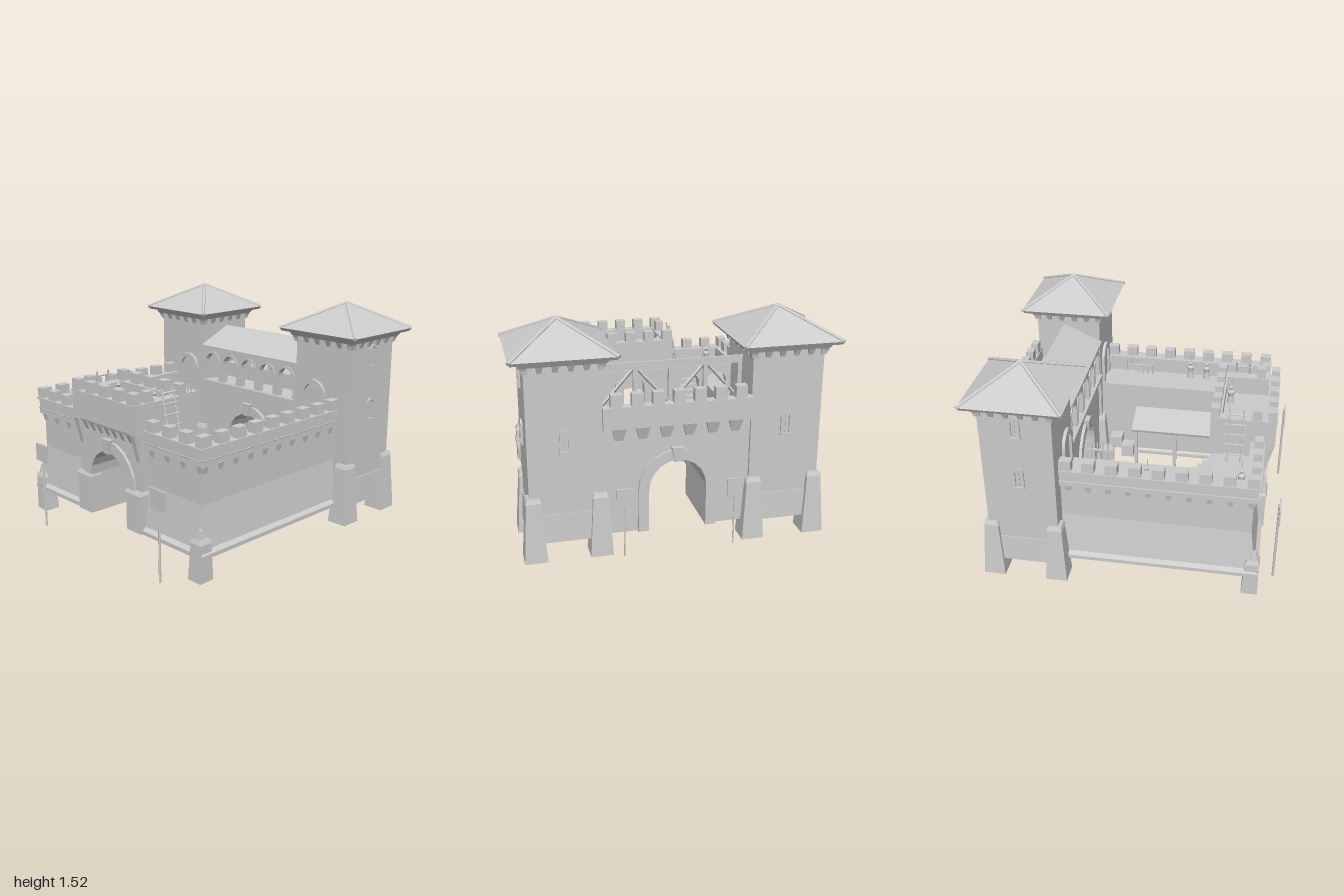
import * as THREE from 'three';

const grey = new THREE.MeshStandardMaterial({ color: 0xcccccc, flatShading: true, side: THREE.DoubleSide });
const V = (x, y, z) => new THREE.Vector3(x, y, z);

function add(parent, name, geo) {
  const m = new THREE.Mesh(geo, grey);
  m.name = name;
  parent.add(m);
  return m;
}
function group(parent, name) {
  const g = new THREE.Group();
  g.name = name;
  parent.add(g);
  return g;
}
// tapered block: [x0, x1, z0, z1] at the bottom and at the top;
// open lists faces to leave out (capital = positive side)
function taper(p, name, y0, y1, b, t = b, open = '') {
  const g = new THREE.BoxGeometry(1, 1, 1), a = g.attributes.position;
  for (let i = 0; i < a.count; i++) {
    const up = a.getY(i) > 0, r = up ? t : b;
    a.setXYZ(i, r[a.getX(i) > 0 ? 1 : 0], up ? y1 : y0, r[a.getZ(i) > 0 ? 3 : 2]);
  }
  g.setIndex([...g.index.array].filter((v, i) => !open.includes('XxYyZz'[Math.floor(i / 6)])));
  g.computeVertexNormals();
  return add(p, name, g);
}
const block = (p, name, x, y, z, w, h, d, open) =>
  taper(p, name, y - h / 2, y + h / 2, [x - w / 2, x + w / 2, z - d / 2, z + d / 2], undefined, open);
// (z, y) profile extruded along x
function prism(p, name, pts, x0, x1) {
  const g = new THREE.ExtrudeGeometry(new THREE.Shape(pts.map(q => new THREE.Vector2(...q))), { depth: x1 - x0, bevelEnabled: false });
  g.rotateY(-Math.PI / 2).translate(x1, 0, 0);
  return add(p, name, g);
}
function bar(p, name, a, b, r, sides = 6) {
  const d = b.clone().sub(a);
  const m = add(p, name, new THREE.CylinderGeometry(r, r, d.length(), sides));
  m.position.copy(a).addScaledVector(d, 0.5);
  m.quaternion.setFromUnitVectors(V(0, 1, 0), d.normalize());
  return m;
}
function archPath(T, cx, w, y0, spring, rise) {
  const s = new T();
  s.moveTo(cx - w, y0).lineTo(cx + w, y0).lineTo(cx + w, spring);
  s.absellipse(cx, spring, w, rise, 0, Math.PI, false);
  s.lineTo(cx - w, y0);
  return s;
}
const extrude = (s, z0, z1) =>
  new THREE.ExtrudeGeometry(s, { depth: z1 - z0, bevelEnabled: false, curveSegments: 5 }).translate(0, 0, z0);
// wall with a round-headed passage
function archWall(p, name, w, y0, y1, z0, z1) {
  const s = new THREE.Shape();
  s.moveTo(-w, y0).lineTo(-0.18, y0).lineTo(-0.18, 0.46);
  s.absellipse(0, 0.46, 0.18, 0.19, Math.PI, 0, true);
  s.lineTo(0.18, y0).lineTo(w, y0).lineTo(w, y1).lineTo(-w, y1);
  add(p, name, extrude(s, z0, z1));
}
// arch-shaped band, open at the foot
function surround(p, name, w, y0, spring, rise, t, z0, z1) {
  const s = new THREE.Shape();
  s.moveTo(w, y0).lineTo(w + t, y0).lineTo(w + t, spring);
  s.absellipse(0, spring, w + t, rise + t, 0, Math.PI, false);
  s.lineTo(-w - t, y0).lineTo(-w, y0).lineTo(-w, spring);
  s.absellipse(0, spring, w, rise, Math.PI, 0, true);
  return add(p, name, extrude(s, z0, z1));
}
const spread = (a, b, n) => Array.from({ length: n }, (_, i) => a + (b - a) * i / (n - 1));

function addTower(root, s) {
  const t = group(root, s > 0 ? 'leftTower' : 'rightTower');
  t.position.set(s * 0.68, 0, -0.635);
  const h = 0.225;
  block(t, 'towerShaft', 0, 0.76, 0, 2 * h, 1.14, 2 * h, 'y');
  taper(t, 'towerFoot', 0.19, 0.37, [-0.24, 0.24, -0.24, 0.24], [-0.232, 0.232, -0.232, 0.232], 'y');
  taper(t, 'towerCornice', 1.295, 1.325, [-0.25, 0.25, -0.25, 0.25], [-0.268, 0.268, -0.268, 0.268]);
  for (let k = 0; k < 4; k++) {
    const side = group(t, 'towerCorbels');
    side.rotation.y = k * Math.PI / 2;
    for (const x of spread(-0.225, 0.225, 6))
      taper(side, 'corbel', 1.255, 1.3, [x - 0.013, x + 0.013, 0.2, 0.232], [x - 0.022, x + 0.022, 0.2, 0.252]);
  }
  // roof with hip ridges
  taper(t, 'roofEave', 1.325, 1.345, [-0.3, 0.3, -0.3, 0.3], [-0.312, 0.312, -0.312, 0.312]);
  add(t, 'towerRoof', new THREE.ConeGeometry(0.312 * Math.SQRT2, 0.17, 4, 1).rotateY(Math.PI / 4).translate(0, 1.43, 0));
  for (const a of [-1, 1]) for (const b of [-1, 1]) {
    bar(t, 'hipRidge', V(0, 1.512, 0), V(a * 0.31, 1.345, b * 0.31), 0.013);
    const x = a * 0.2, z = b * 0.205;
    taper(t, 'towerButtress', 0.08, 0.46, [x - 0.07, x + 0.07, z - 0.07, z + 0.07], [x - 0.045, x + 0.045, z - 0.045, z + 0.045], 'y');
    taper(t, 'buttressCap', 0.46, 0.485, [x - 0.05, x + 0.05, z - 0.05, z + 0.05], [x - 0.04, x + 0.04, z - 0.04, z + 0.04]);
  }
  // windows on the outer and rear sides, door on the front
  for (const [angle, y] of [[s * Math.PI / 2, 1.12], [s * Math.PI / 2, 0.76], [Math.PI, 0.76]]) {
    const w = group(t, 'window');
    w.rotation.y = angle;
    w.position.y = y;
    surround(w, 'windowFrame', 0.02, 0, 0.11, 0.022, 0.014, h, h + 0.012);
    block(w, 'windowSill', 0, 0, h + 0.008, 0.075, 0.014, 0.016);
    block(w, 'windowBar', 0, 0.06, h, 0.006, 0.13, 0.008);
  }
  const d = group(t, 'towerDoor');
  d.position.x = -s * 0.07;
  surround(d, 'doorFrame', 0.07, 0.74, 0.92, 0.07, 0.03, h, h + 0.02);
  add(d, 'doorLeaf', extrude(archPath(THREE.Shape, 0, 0.06, 0.745, 0.92, 0.06), h - 0.005, h + 0.006));
}

function addCurtain(root, s) {
  const c = group(root, s > 0 ? 'leftCurtain' : 'rightCurtain');
  const r = (x0, x1, z0, z1) => s > 0 ? [x0, x1, z0, z1] : [-x1, -x0, z0, z1];
  const part = (name, y0, y1, b, t = b, open = '') =>
    taper(c, name, y0, y1, r(...b), r(...t), s > 0 ? open : open.replace(/x/gi, q => q === 'x' ? 'X' : 'x'));
  // hollow wing: side run, corner and front run share one open interior
  for (const [name, x0, x1, z0, z1, open] of [
    ['sideWall', 0.5, 1, -0.42, 0.5, 'zZ'], ['cornerWall', 0.5, 1, 0.5, 1, 'xz'], ['frontWall', 0.3, 0.5, 0.5, 1, 'X']]) {
    const at = e => [x0, Math.min(x1, e), z0, Math.min(z1, e)];
    part(name + 'Foot', 0.19, 0.5, at(0.83), at(0.79), 'yY' + open);
    part(name, 0.5, 0.74, at(0.79), at(0.79), 'y' + open);
  }
  for (const [x0, z0, name] of [[0.8, -0.42, 'sidePlinth'], [0.3, 0.8, 'frontPlinth']]) {
    part(name, 0.19, 0.215, [x0, 0.85, z0, 0.85]);
    part(name + 'Slope', 0.215, 0.235, [x0, 0.85, z0, 0.85], [x0, 0.825, z0, 0.825]);
  }
  // parapet on a sloped ledge, with coping and battlements
  for (const [name, y0, y1, e0, e1] of [['Ledge', 0.75, 0.775, 0.79, 0.825], ['Parapet', 0.735, 0.85, 0.815, 0.815], ['Coping', 0.837, 0.851, 0.828, 0.828]]) {
    part('side' + name, y0, y1, [0.735, e0, -0.42, e0], [0.735, e1, -0.42, e1]);
    part('front' + name, y0, y1, [0.3, e0, 0.735, e0], [0.3, e1, 0.735, e1]);
  }
  for (const z of spread(0.782, -0.37, 9)) part('merlon', 0.85, 0.918, [0.762, 0.82, z - 0.038, z + 0.038]);
  for (const x of spread(0.37, 0.66, 3)) part('merlon', 0.85, 0.918, [x - 0.035, x + 0.035, 0.762, 0.82]);
  for (const z of spread(0.775, -0.36, 10))
    part('corbel', 0.69, 0.765, [0.77, 0.797, z - 0.014, z + 0.014], [0.77, 0.815, z - 0.025, z + 0.025]);
  for (const x of spread(0.36, 0.775, 4))
    part('corbel', 0.69, 0.765, [x - 0.014, x + 0.014, 0.77, 0.797], [x - 0.025, x + 0.025, 0.77, 0.815]);
  // corner buttress
  part('cornerButtress', 0.04, 0.28, [0.735, 0.84, 0.75, 0.855], [0.755, 0.84, 0.765, 0.85], 'y');
  part('cornerCap', 0.28, 0.305, [0.75, 0.845, 0.76, 0.855], [0.765, 0.835, 0.775, 0.845]);
  part('cornerKnob', 0.305, 0.36, [0.775, 0.825, 0.795, 0.84], [0.79, 0.815, 0.805, 0.83]);
  // notice boards, front and rear
  for (const [x, z, y0, y1, w] of [[0.595, 0.95, 0, 0.585, 0.13], [0.345, -0.92, 0.07, 0.52, 0.1]]) {
    bar(c, 'signPole', V(s * x, y0, z), V(s * x, y1, z), z > 0 ? 0.008 : 0.005);
    block(c, 'signBoard', s * x, y1 - 0.06, z + Math.sign(z) * 0.006, w, 0.12, 0.01);
  }
  // ladder up to the gatehouse
  const foot = z => V(s * 0.395, 0.74, z), head = z => V(s * 0.32, 1.09, z);
  for (const z of [0.59, 0.68]) bar(c, 'ladderRail', foot(z), head(z), 0.006);
  for (const k of spread(0.15, 0.9, 5))
    bar(c, 'ladderRung', foot(0.565).lerp(head(0.565), k), foot(0.7).lerp(head(0.7), k), 0.006);
}

function addGatehouse(root) {
  const g = group(root, 'gatehouse');
  archWall(g, 'gateFront', 0.31, 0.19, 0.82, 0.79, 0.84);
  archWall(g, 'gateBack', 0.31, 0.19, 0.82, 0.5, 0.53);
  surround(g, 'gatePassage', 0.18, 0.19, 0.46, 0.19, 0.012, 0.53, 0.79);
  for (const x of [-0.303, 0.303]) block(g, 'gateSide', x, 0.505, 0.66, 0.014, 0.63, 0.3);
  block(g, 'gateDeck', 0, 0.85, 0.68, 0.61, 0.07, 0.38);
  taper(g, 'gateLedge', 0.795, 0.83, [-0.31, 0.31, 0.5, 0.84], [-0.31, 0.31, 0.475, 0.888]);
  for (const [y, h, e] of [[0.915, 0.17, 0], [1.005, 0.015, 0.01]]) {
    for (const z of [0.502, 0.858]) block(g, 'gateParapet', 0, y, z, 0.62 + e, h, 0.064 + e);
    for (const x of [-0.28, 0.28]) block(g, 'gateParapet', x, y, 0.68, 0.062 + e, h, 0.33);
  }
  for (const x of spread(-0.275, 0.275, 5)) for (const z of [0.498, 0.862]) block(g, 'merlon', x, 1.045, z, 0.07, 0.075, 0.055);
  for (const x of [-0.283, 0.283]) block(g, 'merlon', x, 1.045, 0.765, 0.055, 0.075, 0.06);
  for (const x of spread(-0.22, 0.22, 7))
    taper(g, 'corbel', 0.755, 0.815, [x - 0.012, x + 0.012, 0.82, 0.845], [x - 0.02, x + 0.02, 0.82, 0.872]);
  for (const x of [-0.285, 0.285])
    taper(g, 'longCorbel', 0.65, 0.825, [x - 0.014, x + 0.014, 0.82, 0.845], [x - 0.022, x + 0.022, 0.82, 0.888]);
  surround(g, 'gateArch', 0.18, 0.455, 0.46, 0.19, 0.075, 0.83, 0.858);
  for (const x of [-0.25, 0.25]) {
    taper(g, 'gatePier', 0.19, 0.445, [x - 0.07, x + 0.07, 0.78, 0.862]);
    taper(g, 'gatePierCap', 0.44, 0.46, [x - 0.075, x + 0.075, 0.78, 0.868], [x - 0.065, x + 0.065, 0.78, 0.858]);
  }
  taper(g, 'keystone', 0.64, 0.735, [-0.025, 0.025, 0.83, 0.87], [-0.04, 0.04, 0.83, 0.875]);
}

function addKeep(root) {
  const k = group(root, 'rearKeep');
  archWall(k, 'keepFront', 0.46, 0.19, 0.82, -0.47, -0.43);
  archWall(k, 'keepBack', 0.46, 0.19, 0.82, -0.84, -0.8);
  surround(k, 'keepPassage', 0.18, 0.19, 0.46, 0.19, 0.012, -0.8, -0.47);
  block(k, 'galleryFloor', 0, 0.81, -0.54, 0.92, 0.04, 0.27);
  block(k, 'rearTerrace', 0, 0.87, -0.75, 0.92, 0.13, 0.19);
  surround(k, 'courtArch', 0.18, 0.19, 0.46, 0.19, 0.065, -0.435, -0.41);
  surround(k, 'rearArch', 0.18, 0.19, 0.46, 0.19, 0.065, -0.862, -0.835);
  for (const z of [-0.42, -0.85]) taper(k, 'keystone', 0.64, 0.73, [-0.025, 0.025, z - 0.022, z + 0.022], [-0.04, 0.04, z - 0.025, z + 0.025]);
  // arcaded gallery
  const s = new THREE.Shape([[-0.46, 0.79], [0.46, 0.79], [0.46, 1.1], [-0.46, 1.1]].map(q => new THREE.Vector2(...q)));
  for (const x of spread(-0.36, 0.36, 5)) {
    s.holes.push(archPath(THREE.Path, x, 0.065, 0.845, 0.985, 0.065));
    const f = surround(k, 'galleryArch', 0.065, 0.845, 0.985, 0.065, 0.014, -0.42, -0.41);
    f.position.x = x;
  }
  add(k, 'galleryWall', extrude(s, -0.455, -0.418));
  block(k, 'galleryString', 0, 0.832, -0.415, 0.9, 0.022, 0.04);
  // lean-to roof carried by rear timbers
  prism(k, 'galleryRoof', [[-0.395, 1.085], [-0.395, 1.105], [-0.655, 1.22], [-0.67, 1.22], [-0.67, 1.195], [-0.64, 1.193]], -0.46, 0.46);
  const posts = spread(-0.44, 0.44, 5);
  block(k, 'ridgeBeam', 0, 1.185, -0.655, 0.92, 0.025, 0.025);
  posts.forEach((x, i) => {
    block(k, 'timberPost', x, 1.06, -0.655, 0.025, 0.26, 0.025);
    if (i < 4) bar(k, 'timberBrace', V(posts[i + i % 2], 0.94, -0.655), V(posts[i + 1 - i % 2], 1.19, -0.655), 0.011, 4);
  });
  // rear parapet
  block(k, 'rearParapet', 0, 0.95, -0.867, 0.92, 0.13, 0.05);
  block(k, 'rearCoping', 0, 1.015, -0.867, 0.92, 0.015, 0.06);
  for (const x of spread(-0.38, 0.38, 7)) block(k, 'merlon', x, 1.06, -0.867, 0.07, 0.08, 0.05);
  for (const x of spread(-0.36, 0.36, 6))
    taper(k, 'rearCorbel', 0.8, 0.91, [x - 0.025, x + 0.025, -0.85, -0.82], [x - 0.05, x + 0.05, -0.885, -0.82]);
}

function addCourtyard(root) {
  const c = group(root, 'courtyard');
  // stair rising to the front walkway
  const n = 18, pts = [[-0.1, 0.16]];
  for (let i = 0; i < n; i++) {
    const y = 0.16 + 0.58 * (i + 1) / n;
    pts.push([-0.1 + 0.6 * i / n, y], [-0.1 + 0.6 * (i + 1) / n, y]);
  }
  pts.push([0.5, 0.66], [0, 0.16]);
  prism(c, 'stair', pts, -0.49, -0.35);
  block(c, 'stairBase', -0.42, 0.155, 0.2, 0.14, 0.05, 0.6);
  // lean-to shed
  const roof = block(c, 'shedRoof', 0.385, 0.52, 0.175, 0.235, 0.02, 0.65);
  roof.geometry.translate(-0.385, -0.52, 0).rotateZ(0.3).translate(0.385, 0.52, 0);
  for (const z of [-0.12, 0.17, 0.46]) {
    block(c, 'shedPost', 0.29, 0.305, z, 0.025, 0.37, 0.025);
    block(c, 'shedTie', 0.39, 0.46, z, 0.22, 0.02, 0.02);
  }
  block(c, 'shedRail', 0.29, 0.3, 0.17, 0.02, 0.02, 0.58);
  // crates
  for (const [x, y, z, a] of [[0.39, 0.25, -0.2, 0.05], [0.425, 0.3, -0.29, 0], [0.31, 0.24, -0.35, 0.3]]) {
    const b = add(c, 'crate', new THREE.BoxGeometry(0.09, 0.09, 0.09));
    b.position.set(x, y, z);
    b.rotation.y = a;
  }
  // weapon racks
  for (const [x, z0, z1] of [[0.71, -0.25, -0.06], [-0.48, -0.31, -0.13]]) {
    block(c, 'rackRail', x, 0.8, (z0 + z1) / 2, 0.015, 0.012, z1 - z0);
    for (const z of spread(z0, z1, 6)) bar(c, 'rackSpear', V(x - 0.01, 0.74, z), V(x + 0.01, 0.85, z), 0.005);
  }
  // guards
  const profile = [[0, 0], [0.026, 0], [0.018, 0.05], [0.026, 0.085], [0.008, 0.1], [0.016, 0.115], [0, 0.135]];
  for (const [x, y, z] of [[-0.71, 0.74, 0.12], [-0.65, 0.74, 0.7], [0.7, 0.74, 0.23], [0.7, 0.74, 0.35], [-0.23, 0.885, 0.58], [0.12, 0.885, 0.57]]) {
    const m = add(c, 'guard', new THREE.LatheGeometry(profile.map(q => new THREE.Vector2(...q)), 8));
    m.position.set(x, y, z);
    bar(c, 'guardSpear', V(x + 0.03, y, z), V(x + 0.03, y + 0.16, z), 0.003, 5);
  }
}

export function createModel() {
  const root = new THREE.Group();
  root.name = 'castle';
  for (const s of [-1, 1]) {
    addTower(root, s);
    addCurtain(root, s);
  }
  addGatehouse(root);
  addKeep(root);
  addCourtyard(root);
  return root;
}
